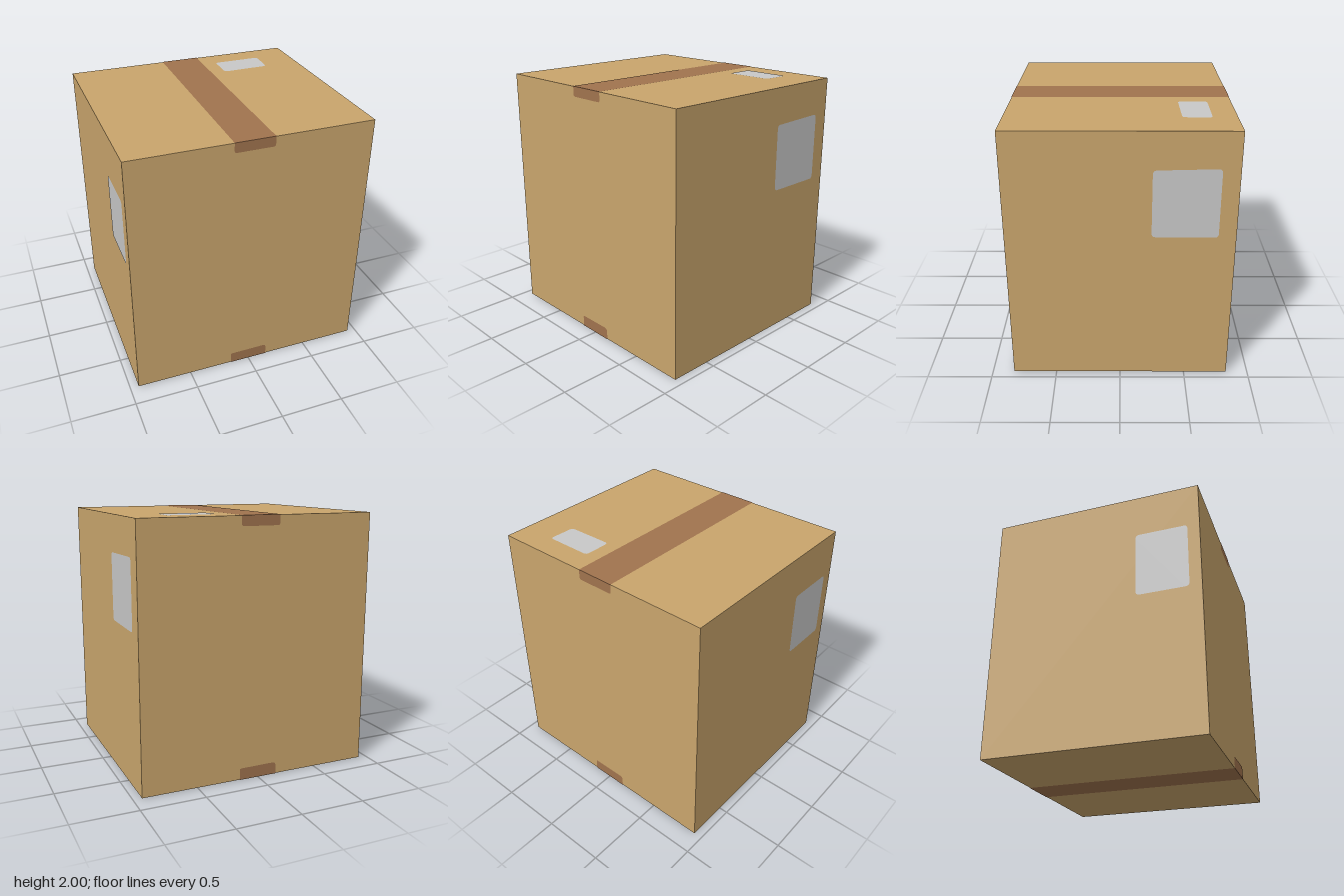
import * as THREE from 'three';

const W = 1.87, H = 2, D = 1.67, GAP = 0.002;
const HALF = Math.PI / 2;

// Closed outline through corners (counter-clockwise), each rounded by its radius
function outline(corners, radii) {
  const s = new THREE.Shape();
  const n = corners.length;
  const pts = corners.map(c => new THREE.Vector2(...c));
  const toward = (a, b, r) => a.clone().add(b.clone().sub(a).setLength(r));
  pts.forEach((p, i) => {
    const r = radii[i];
    const a = r ? toward(p, pts[(i + n - 1) % n], r) : p;
    if (i === 0) s.moveTo(a.x, a.y); else s.lineTo(a.x, a.y);
    if (r) {
      const b = toward(p, pts[(i + 1) % n], r);
      s.quadraticCurveTo(p.x, p.y, b.x, b.y);
    }
  });
  s.closePath();
  return s;
}

// Rotation and position that lay a flat sheet on each side of the box
const SIDES = {
  front: { rot: [0, 0, 0], pos: [0, 0, D / 2] },
  back: { rot: [0, Math.PI, 0], pos: [0, 0, -D / 2] },
  left: { rot: [0, HALF, 0], pos: [W / 2, 0, 0] },
  right: { rot: [0, -HALF, 0], pos: [-W / 2, 0, 0] },
  top: { rot: [-HALF, 0, 0], pos: [0, H, 0] },
  bottom: { rot: [HALF, 0, 0], pos: [0, 0, 0] },
};

export function createModel() {
  const model = new THREE.Group();
  model.name = 'parcel';

  const material = (name, color) => {
    const m = new THREE.MeshStandardMaterial({ color });
    m.name = name;
    return m;
  };
  const cardboard = material('cardboard', 0xc9a56c);
  const tape = material('brown tape', 0xa0734e);
  const paper = material('label paper', 0xc8c8c8);

  const sheet = (name, side, mat, corners, radii) => {
    const mesh = new THREE.Mesh(new THREE.ShapeGeometry(outline(corners, radii), 6), mat);
    mesh.name = name;
    mesh.rotation.set(...SIDES[side].rot);
    mesh.position.set(...SIDES[side].pos);
    model.add(mesh);
  };

  // Carton, inset by the thickness of the sheets stuck on it
  const box = new THREE.Mesh(
    new THREE.BoxGeometry(W - 2 * GAP, H - 2 * GAP, D - 2 * GAP), cardboard);
  box.name = 'carton';
  box.position.y = H / 2;
  model.add(box);

  // Tape strips along the top and bottom seams
  const T = 0.154, E = D / 2;
  for (const side of ['top', 'bottom']) {
    sheet(side + 'Tape', side, tape, [[-T, -E], [T, -E], [T, E], [-T, E]], [0, 0, 0, 0]);
  }

  // Tape ends folded over the front and back
  for (const side of ['front', 'back']) {
    sheet(side + 'UpperTapeEnd', side, tape,
      [[-T, H - 0.078], [T, H - 0.078], [T, H], [-T, H]], [0.02, 0.02, 0, 0]);
    sheet(side + 'LowerTapeEnd', side, tape,
      [[-T, 0], [T, 0], [T, 0.095], [-T, 0.092]], [0, 0, 0.03, 0.015]);
  }

  // Shipping labels
  const r = [0.03, 0.03, 0.03, 0.03];
  sheet('leftLabel', 'left', paper,
    [[0.225, 1.2], [0.705, 1.197], [0.705, 1.726], [0.225, 1.715]], r);
  sheet('rightLabel', 'right', paper,
    [[0.335, 1.125], [0.74, 1.125], [0.74, 1.65], [0.335, 1.65]], r);
  sheet('topLabel', 'top', paper,
    [[0.267, 0.433], [0.643, 0.439], [0.65, 0.653], [0.267, 0.653]], r);

  return model;
}
